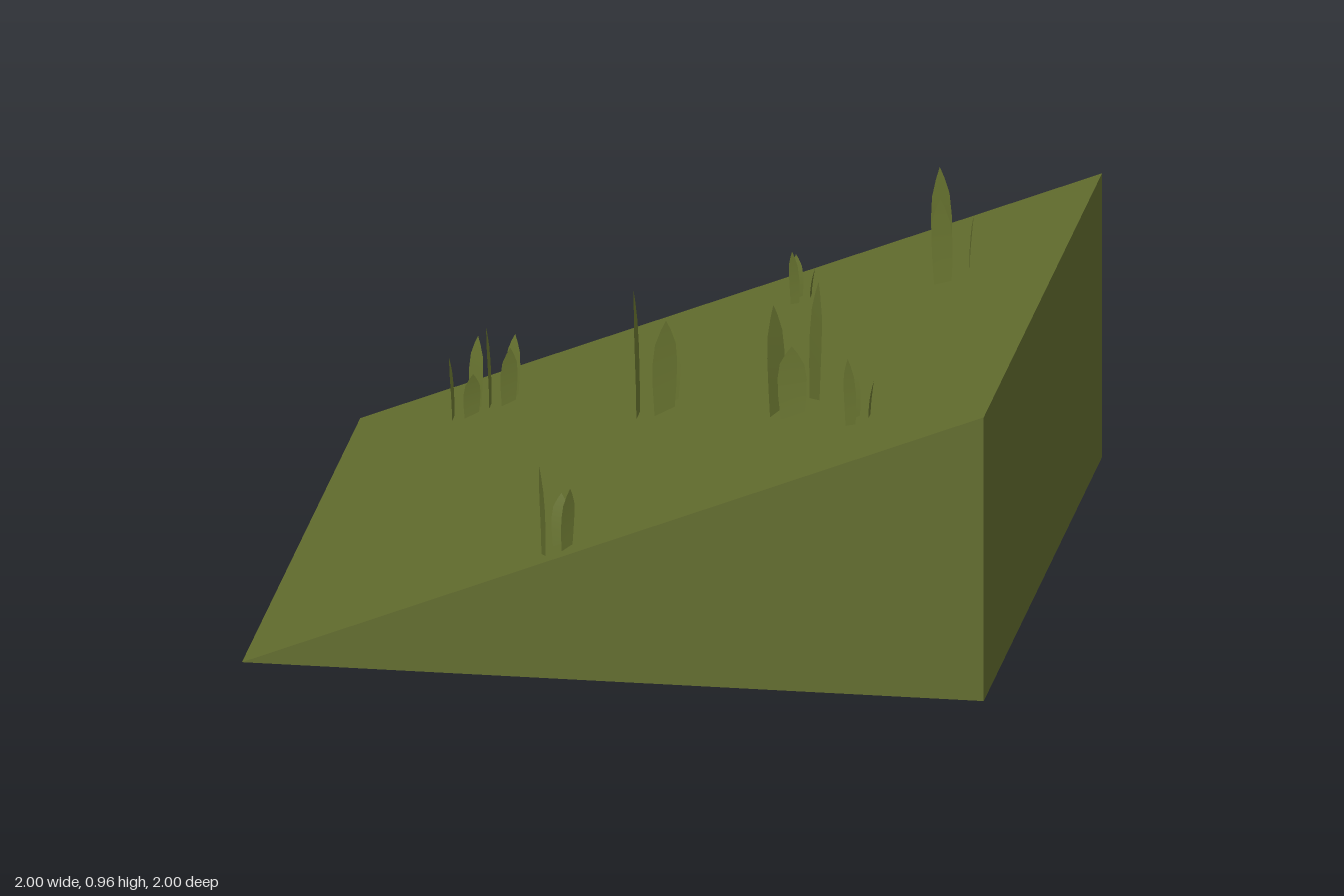
import * as THREE from 'three';

const ground = new THREE.MeshStandardMaterial({ color: 0x626c2e, flatShading: true });
const grass = new THREE.MeshStandardMaterial({ color: 0x6a7631, side: THREE.DoubleSide });

const slopeY = (x) => 0.4 * (x + 1);

// Upright leaf outline, bulging in the middle and pointed at the tip,
// curved slightly outward (+z) as it rises
function bladeGeometry(width, height) {
  const rows = [[0, 0.4], [0.3, 0.48], [0.55, 0.5], [0.75, 0.42], [0.9, 0.2], [1, 0]];
  const positions = [], index = [];
  rows.forEach(([t, half], i) => {
    const out = 0.012 * t * t;
    positions.push(-half * width, t * height, out, half * width, t * height, out);
    if (i) {
      const a = 2 * i - 2;
      index.push(a, a + 1, a + 3);
      if (half > 0) index.push(a, a + 3, a + 2);
    }
  });
  const geo = new THREE.BufferGeometry();
  geo.setAttribute('position', new THREE.Float32BufferAttribute(positions, 3));
  geo.setIndex(index);
  geo.computeVertexNormals();
  return geo;
}

// Three blades standing on a small ring, each facing outward
function makeTuft(x, z, radius, startDeg, heights) {
  const tuft = new THREE.Group();
  tuft.name = 'grassTuft';
  heights.forEach((h, i) => {
    const a = THREE.MathUtils.degToRad(startDeg + i * 120);
    const bx = x + radius * Math.cos(a), bz = z + radius * Math.sin(a);
    const blade = new THREE.Mesh(bladeGeometry(radius * 1.35, h + 0.01), grass);
    blade.name = 'grassBlade';
    blade.position.set(bx, slopeY(bx) - 0.01, bz);
    blade.rotation.y = Math.PI / 2 - a;
    tuft.add(blade);
  });
  return tuft;
}

export function createModel() {
  const model = new THREE.Group();
  model.name = 'grassySlope';

  // Solid wedge rising toward +x
  const side = new THREE.Shape([
    new THREE.Vector2(-1, 0), new THREE.Vector2(1, 0), new THREE.Vector2(1, 0.8),
  ]);
  const wedgeGeo = new THREE.ExtrudeGeometry(side, { depth: 2, bevelEnabled: false });
  wedgeGeo.translate(0, 0, -1);
  const wedge = new THREE.Mesh(wedgeGeo, ground);
  wedge.name = 'slope';
  model.add(wedge);

  // x, z, ring radius, first blade direction, blade heights
  const tufts = [
    [-0.665, -0.70, 0.036, 180, [0.17, 0.20, 0.12]],
    [-0.565, -0.70, 0.036, 180, [0.22, 0.17, 0.16]],
    [0.23, -0.74, 0.026, 0, [0.08, 0.15, 0.12]],
    [0.675, -0.49, 0.048, 110, [0.24, 0.30, 0.15]],
    [-0.06, -0.13, 0.052, 180, [0.35, 0.20, 0.26]],
    [0.38, 0.31, 0.058, 87, [0.20, 0.30, 0.33]],
    [0.60, 0.62, 0.031, 0, [0.10, 0.19, 0.14]],
    [-0.165, 0.91, 0.037, 155, [0.25, 0.14, 0.17]],
  ];
  for (const t of tufts) model.add(makeTuft(...t));

  return model;
}
